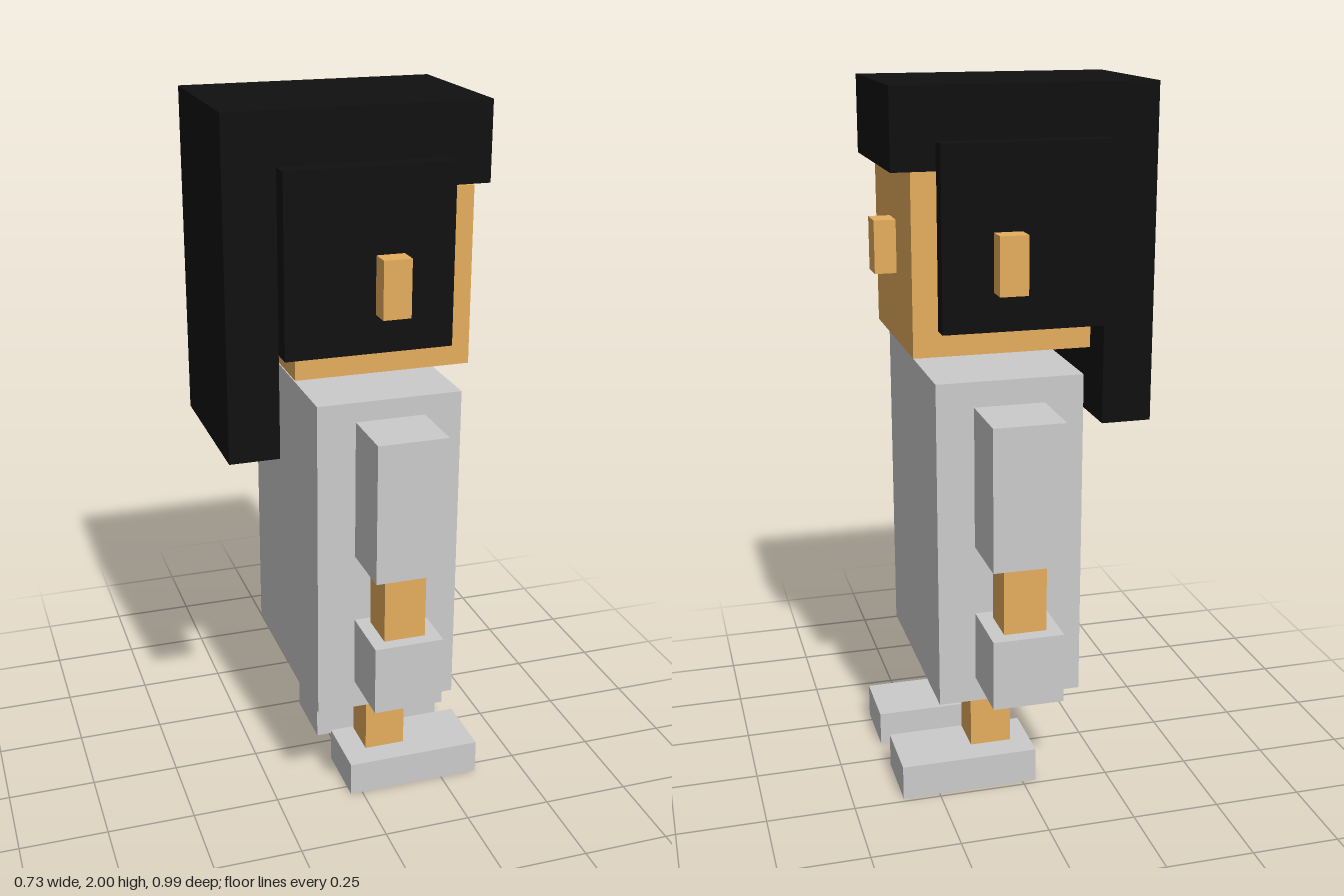
import * as THREE from 'three';

export function createModel() {
  const model = new THREE.Group();
  const grey = new THREE.MeshStandardMaterial({ color: 0xcccccc, flatShading: true });
  const skin = new THREE.MeshStandardMaterial({ color: 0xe6ae5d, flatShading: true });
  const black = new THREE.MeshStandardMaterial({ color: 0x101010, flatShading: true });

  // A block given by its extents along each axis
  function block(name, material, [x0, x1], [y0, y1], [z0, z1], parent = model) {
    const mesh = new THREE.Mesh(new THREE.BoxGeometry(x1 - x0, y1 - y0, z1 - z0), material);
    mesh.position.set((x0 + x1) / 2, (y0 + y1) / 2, (z0 + z1) / 2);
    mesh.name = name;
    parent.add(mesh);
  }

  function group(name) {
    const g = new THREE.Group();
    g.name = name;
    model.add(g);
    return g;
  }

  // Torso; the figure looks along +x
  block('torso', grey, [-0.145, 0.26], [0.32, 1.245], [-0.3, 0.32]);

  // Head with nose and ears
  const head = group('head');
  block('face', skin, [-0.185, 0.303], [1.3, 1.785], [-0.23, 0.256], head);
  block('nose', skin, [0.303, 0.363], [1.49, 1.635], [-0.03, 0.05], head);
  block('leftEar', skin, [0.02, 0.097], [1.475, 1.632], [-0.342, -0.28], head);
  block('rightEar', skin, [0.02, 0.097], [1.475, 1.632], [0.303, 0.361], head);

  // Hair: cap, long back and side panels
  const hair = group('hair');
  block('hairCap', black, [-0.225, 0.353], [1.785, 2], [-0.227, 0.244], hair);
  block('hairBack', black, [-0.365, -0.225], [1.08, 2], [-0.227, 0.244], hair);
  block('leftHairPanel', black, [-0.225, 0.235], [1.37, 1.86], [-0.282, -0.22], hair);
  block('rightHairPanel', black, [-0.225, 0.235], [1.37, 1.86], [0.24, 0.303], hair);

  // Arms: sleeve, bare forearm, cuff
  const arms = [
    { name: 'leftArm', y: 0.39, outer: [-0.495, -0.3], inner: [-0.455, -0.338] },
    { name: 'rightArm', y: 0.405, outer: [0.32, 0.497], inner: [0.343, 0.46] },
  ];
  for (const { name, y, outer, inner } of arms) {
    const arm = group(name);
    block('sleeve', grey, [-0.038, 0.157], [y + 0.392, y + 0.785], outer, arm);
    block('forearm', skin, [0, 0.117], [y + 0.196, y + 0.392], inner, arm);
    block('cuff', grey, [-0.038, 0.157], [y, y + 0.196], outer, arm);
  }

  // Legs with detached feet pointing forward
  const legs = [
    { name: 'leftLeg', z: [-0.187, -0.073], footZ: [-0.235, -0.038], toe: 0.356 },
    { name: 'rightLeg', z: [0.125, 0.24], footZ: [0.093, 0.288], toe: 0.36 },
  ];
  for (const { name, z, footZ, toe } of legs) {
    const leg = group(name);
    block('shin', skin, [0.026, 0.144], [0.117, 0.32], z, leg);
    block('foot', grey, [toe - 0.395, toe], [0, 0.1], footZ, leg);
  }

  return model;
}
